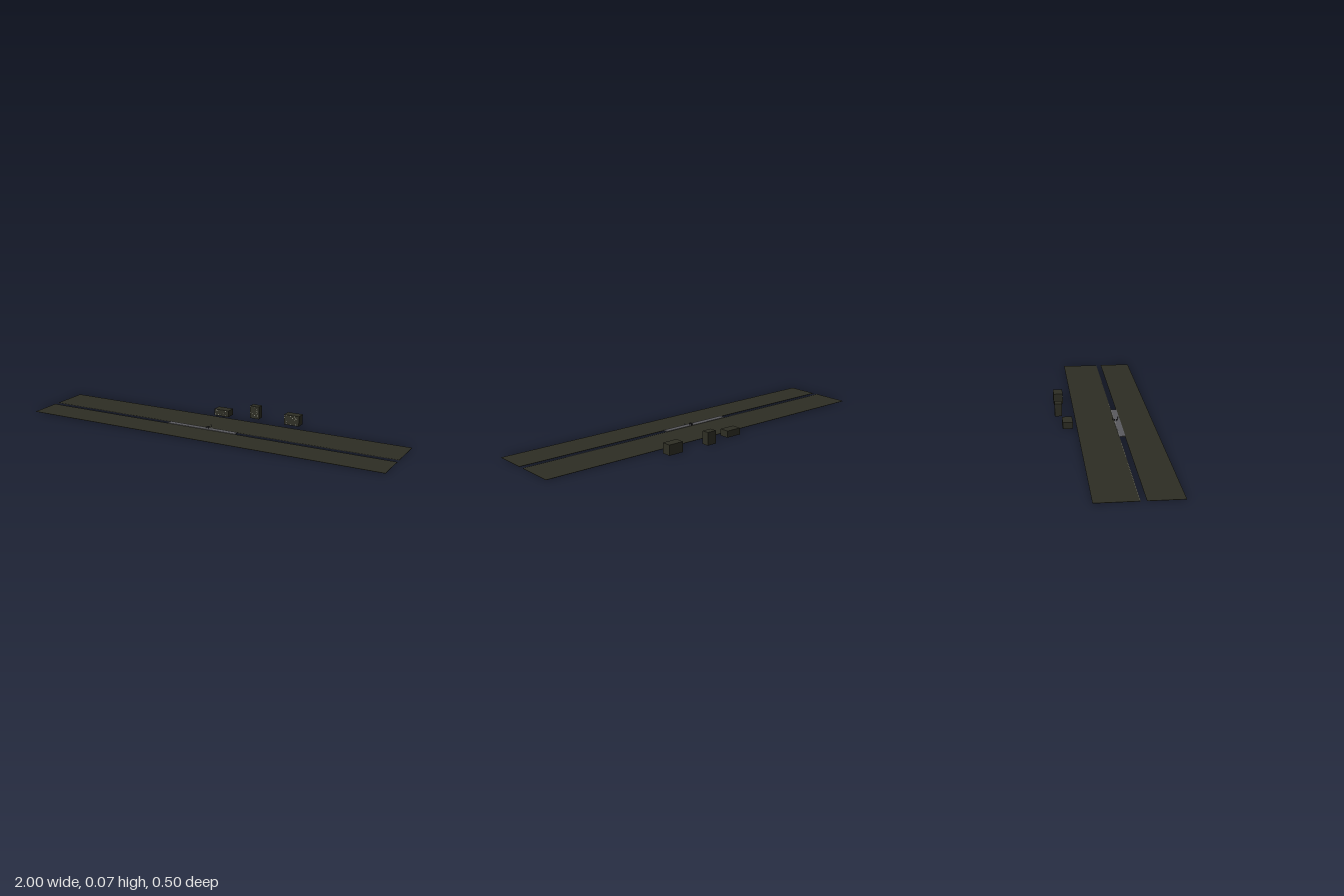
import * as THREE from 'three';

const mat = (name, color) => {
  const m = new THREE.MeshStandardMaterial({ color });
  m.name = name;
  return m;
};

export function createModel() {
  const root = new THREE.Group();
  root.name = 'trainStop';
  const earth = mat('darkEarth', 0x2e2e24);
  const concrete = mat('concreteGrey', 0x5a5a5e);
  const pale = mat('paleLight', 0xd8d8cc);
  const edge = mat('edgeGrey', 0x8c8c80);
  const dark = mat('darkMetal', 0x333338);

  // Box given by its lower and upper corners
  const box = (name, m, [x0, y0, z0], [x1, y1, z1], parent = root) => {
    const mesh = new THREE.Mesh(new THREE.BoxGeometry(x1 - x0, y1 - y0, z1 - z0), m);
    mesh.position.set((x0 + x1) / 2, (y0 + y1) / 2, (z0 + z1) / 2);
    mesh.name = name;
    parent.add(mesh);
    return mesh;
  };

  // Two long ground strips with a track gap between them
  box('backGround', earth, [-1, 0, -0.15], [1, 0.0015, 0.05]);
  box('frontGround', earth, [-1, 0, 0.08], [1, 0.0015, 0.25]);
  box('trackEdge', edge, [-1, 0, 0.05], [1, 0.0012, 0.053]);

  // Platform with a pale safety line
  box('platform', concrete, [-0.25, 0, 0.05], [0.15, 0.004, 0.082]);
  box('platformLine', edge, [-0.25, 0.004, 0.052], [0.15, 0.0043, 0.0535]);

  // Lamp posts, sign and bench on the platform
  const post = (name, x, z, h) => {
    const mesh = new THREE.Mesh(new THREE.CylinderGeometry(0.0005, 0.0005, h, 6), dark);
    mesh.position.set(x, h / 2, z);
    mesh.name = name;
    root.add(mesh);
  };
  post('lampPost', -0.008, 0.045, 0.021);
  post('signPost', 0.012, 0.073, 0.018);
  box('lampArm', dark, [-0.0085, 0.0195, 0.045], [-0.0075, 0.0205, 0.05]);
  box('signBoard', pale, [0.007, 0.013, 0.0725], [0.017, 0.017, 0.0735]);
  box('cabinet', dark, [-0.024, 0.004, 0.05], [-0.016, 0.012, 0.056]);
  box('benchSeat', dark, [-0.028, 0.008, 0.061], [-0.012, 0.009, 0.067]);
  box('benchBack', dark, [-0.028, 0.009, 0.066], [-0.012, 0.014, 0.067]);
  for (const x of [-0.027, -0.014]) box('benchLeg', dark, [x, 0.004, 0.062], [x + 0.001, 0.008, 0.066]);

  // Distant buildings with scattered lit windows on their fronts
  let seed = 7;
  const rand = () => (seed = (seed * 16807) % 2147483647) / 2147483647;
  const buildings = [
    { x: -0.065, w: 0.086, h: 0.035, z0: -0.222, z1: -0.17, cols: 8, rows: 3 },
    { x: 0.112, w: 0.053, h: 0.068, z0: -0.253, z1: -0.215, cols: 5, rows: 6 },
    { x: 0.336, w: 0.085, h: 0.054, z0: -0.249, z1: -0.199, cols: 8, rows: 5 },
  ];
  for (const b of buildings) {
    const g = new THREE.Group();
    g.name = 'building';
    root.add(g);
    box('buildingBody', earth, [b.x - b.w / 2, 0, b.z0], [b.x + b.w / 2, b.h, b.z1], g);
    for (let r = 0; r < b.rows; r++) for (let c = 0; c < b.cols; c++) {
      if (rand() > 0.35) continue;
      const x = b.x - b.w / 2 + (c + 0.5) * b.w / b.cols;
      const y = (r + 0.6) * b.h / b.rows;
      box('litWindow', pale, [x - 0.0018, y - 0.002, b.z1], [x + 0.0018, y + 0.002, b.z1 + 0.0005], g);
    }
  }
  return root;
}
